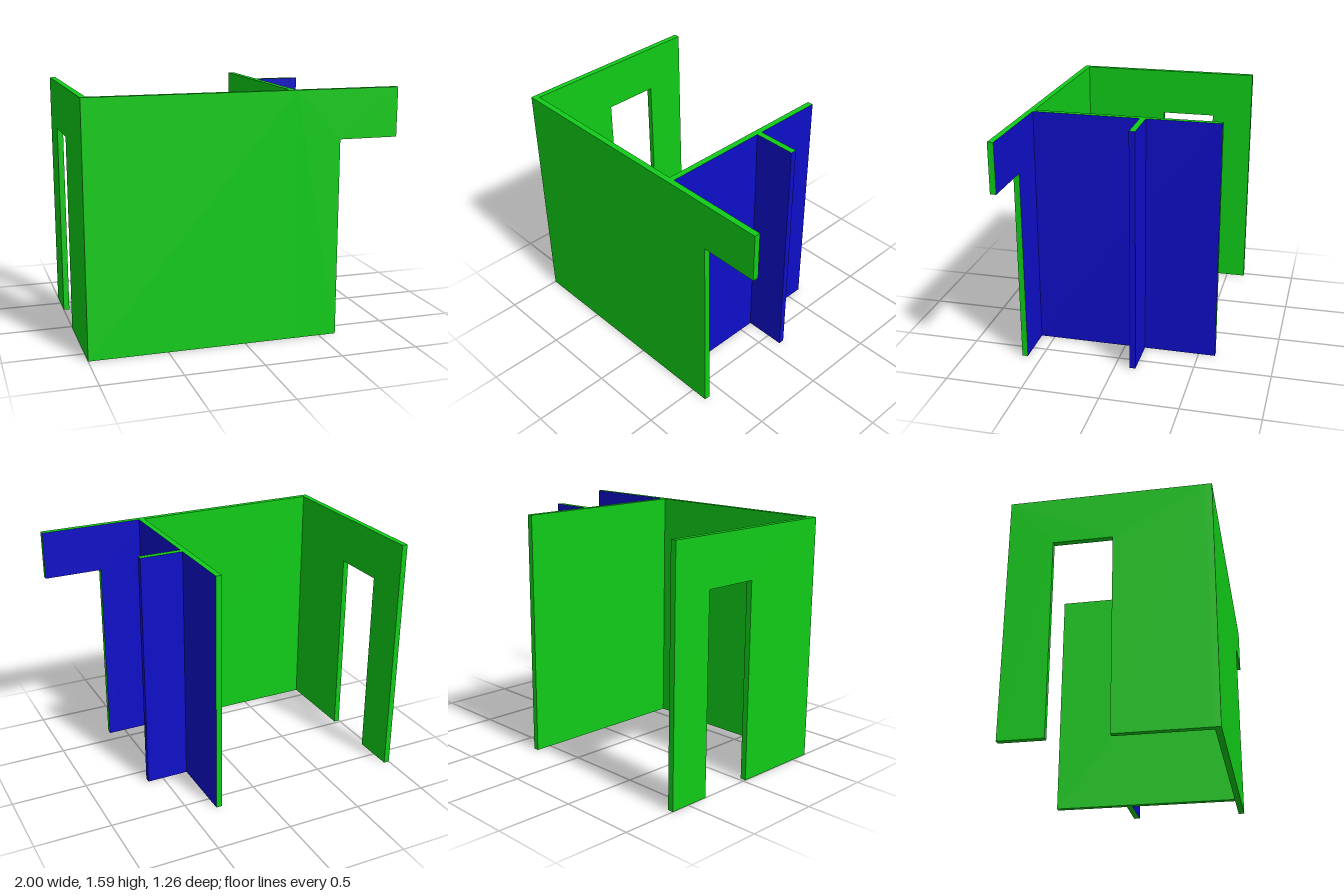
import * as THREE from 'three';

const H = 1.59;      // wall height
const T = 0.038;     // wall thickness
const HEAD = 1.275;  // height of door heads
const FRONT = 0.63;  // outer face of the front wall
const INNER = 0.325; // painted face of the partition

const green = new THREE.MeshStandardMaterial({ color: 0x10cc18 });
const blue = new THREE.MeshStandardMaterial({ color: 0x0e0ec8 });

// Full-height wall on a plan rectangle; blueSides lists faces in box order (+x -x +y -y +z -z)
function wall(name, x0, x1, z0, z1, blueSides = []) {
  const materials = [0, 1, 2, 3, 4, 5].map(i => (blueSides.includes(i) ? blue : green));
  const mesh = new THREE.Mesh(new THREE.BoxGeometry(x1 - x0, H, z1 - z0), materials);
  mesh.position.set((x0 + x1) / 2, H / 2, (z0 + z1) / 2);
  mesh.name = name;
  return mesh;
}

// Wall cut from an outline, one wall thickness deep
function outlineWall(points) {
  const shape = new THREE.Shape(points.map(([x, y]) => new THREE.Vector2(x, y)));
  return new THREE.ExtrudeGeometry(shape, { depth: T, bevelEnabled: false });
}

export function createModel() {
  const group = new THREE.Group();
  const back = FRONT - T; // inner face of the front wall

  group.add(wall('frontWall', -1, INNER, back, FRONT));
  group.add(wall('partitionWall', INNER - T, INNER, -0.61, back, [0]));
  group.add(wall('stubWall', INNER, 0.605, -0.136, -0.097, [0, 4, 5]));

  // Front wall beyond the partition, with a lintel reaching out; its back is painted blue
  const wing = outlineWall([
    [INNER, 0], [0.615, 0], [0.615, HEAD], [1, HEAD], [1, H], [INNER, H],
  ]);
  const caps = wing.groups[0].count;
  const sides = wing.groups[1].count;
  wing.clearGroups();
  wing.addGroup(0, caps / 2, 1);
  wing.addGroup(caps / 2, caps / 2 + sides, 0);
  const wingMesh = new THREE.Mesh(wing, [green, blue]);
  wingMesh.position.z = back;
  wingMesh.name = 'frontWallWithLintel';
  group.add(wingMesh);

  // Side wall with a doorway, outlined along -z then turned into place
  const door = outlineWall([
    [-back, 0], [-0.02, 0], [-0.02, HEAD], [0.35, HEAD],
    [0.35, 0], [FRONT, 0], [FRONT, H], [-back, H],
  ]);
  door.rotateY(Math.PI / 2);
  const doorMesh = new THREE.Mesh(door, green);
  doorMesh.position.x = -1;
  doorMesh.name = 'doorwayWall';
  group.add(doorMesh);

  return group;
}
